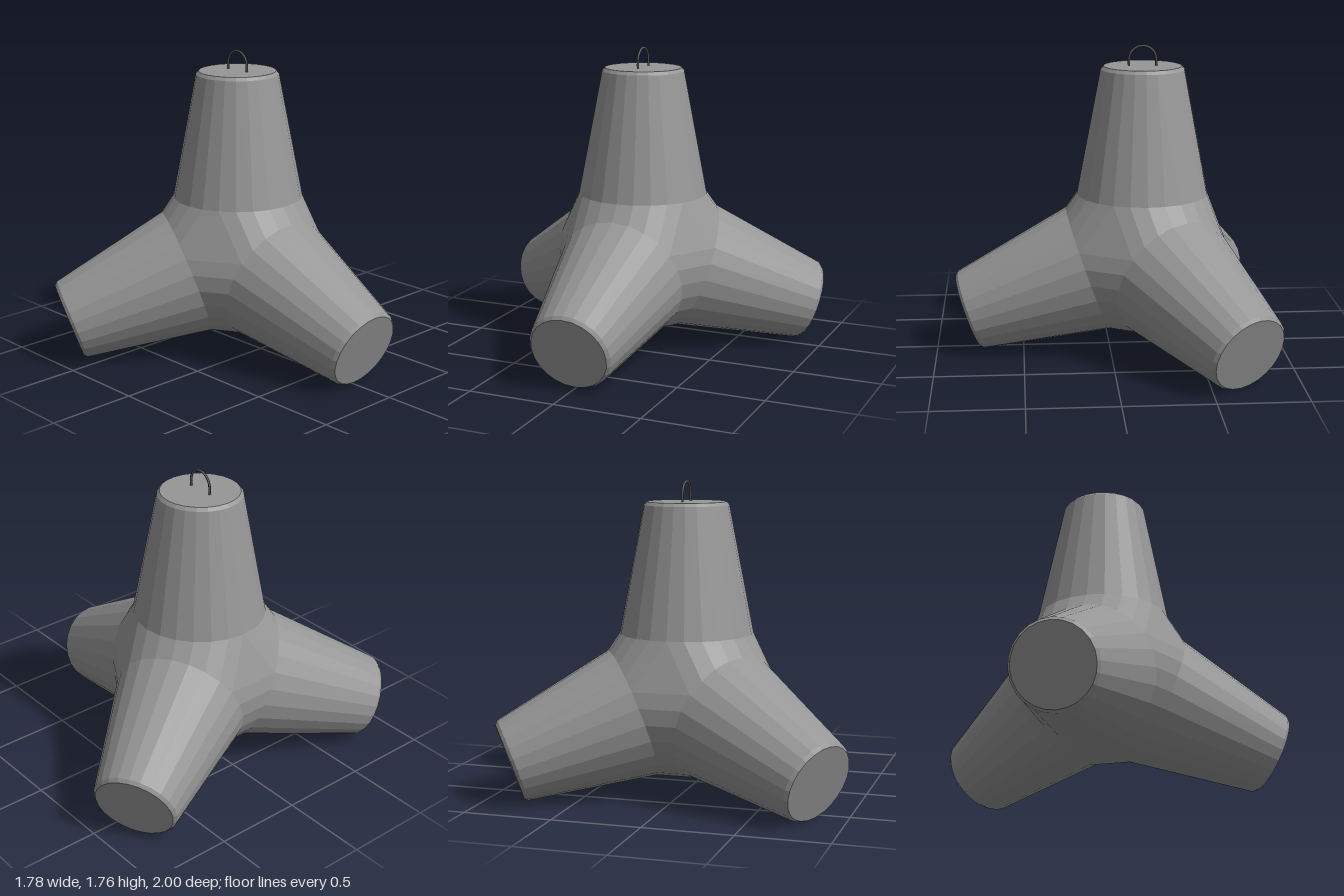
import * as THREE from 'three';
import { ConvexGeometry } from 'three/addons/geometries/ConvexGeometry.js';

const SEGMENTS = 24;
const CENTRE = new THREE.Vector3(-0.19, 0.572, 0);
const BASE = { r: 0.375, d: 0.333 }; // where a leg meets the hub
const RIM = { r: 0.238, d: 1.046 };  // start of the chamfer
const TIP = { r: 0.222, d: 1.065 };  // flat end of a leg

// One leg points up, three are spread evenly below
function legRotations() {
  const tilt = Math.acos(-1 / 3);
  const list = [new THREE.Matrix4()];
  for (let i = 0; i < 3; i++) {
    list.push(new THREE.Matrix4().makeRotationY(i * Math.PI * 2 / 3)
      .multiply(new THREE.Matrix4().makeRotationZ(-tilt)));
  }
  return list;
}

export function createModel() {
  const concrete = new THREE.MeshStandardMaterial({ color: 0x969696, flatShading: true });
  concrete.name = 'concrete';
  const steel = new THREE.MeshStandardMaterial({ color: 0x555555 });
  steel.name = 'steel';

  const model = new THREE.Group();
  model.name = 'breakwaterTetrapod';
  const body = new THREE.Group();
  body.name = 'body';
  body.position.copy(CENTRE);
  model.add(body);

  // Tapered legs with a chamfered end
  const profile = [[BASE.r, BASE.d], [RIM.r, RIM.d], [TIP.r, TIP.d], [0, TIP.d]]
    .map(([r, d]) => new THREE.Vector2(r, d));
  const legGeometry = new THREE.LatheGeometry(profile, SEGMENTS);
  const hubPoints = [];
  legRotations().forEach((rotation, i) => {
    const leg = new THREE.Mesh(legGeometry, concrete);
    leg.name = i === 0 ? 'topLeg' : `lowerLeg${i}`;
    leg.quaternion.setFromRotationMatrix(rotation);
    body.add(leg);
    for (let k = 0; k < SEGMENTS; k++) {
      const a = k / SEGMENTS * Math.PI * 2;
      hubPoints.push(new THREE.Vector3(Math.sin(a) * BASE.r, BASE.d, Math.cos(a) * BASE.r)
        .applyMatrix4(rotation));
    }
  });

  // Hub: the hull around the four leg bases
  const hub = new THREE.Mesh(new ConvexGeometry(hubPoints), concrete);
  hub.name = 'hub';
  body.add(hub);

  // Lifting loop on the top face
  const R = 0.077, top = TIP.d, rise = 0.035;
  const points = [new THREE.Vector3(-R, top - 0.01, 0)];
  for (let k = 0; k <= 12; k++) {
    const a = Math.PI * (1 - k / 12);
    points.push(new THREE.Vector3(Math.cos(a) * R, top + rise + Math.sin(a) * R, 0));
  }
  points.push(new THREE.Vector3(R, top - 0.01, 0));
  const loop = new THREE.Mesh(
    new THREE.TubeGeometry(new THREE.CatmullRomCurve3(points), 40, 0.007, 8), steel);
  loop.name = 'liftingLoop';
  body.add(loop);

  return model;
}
